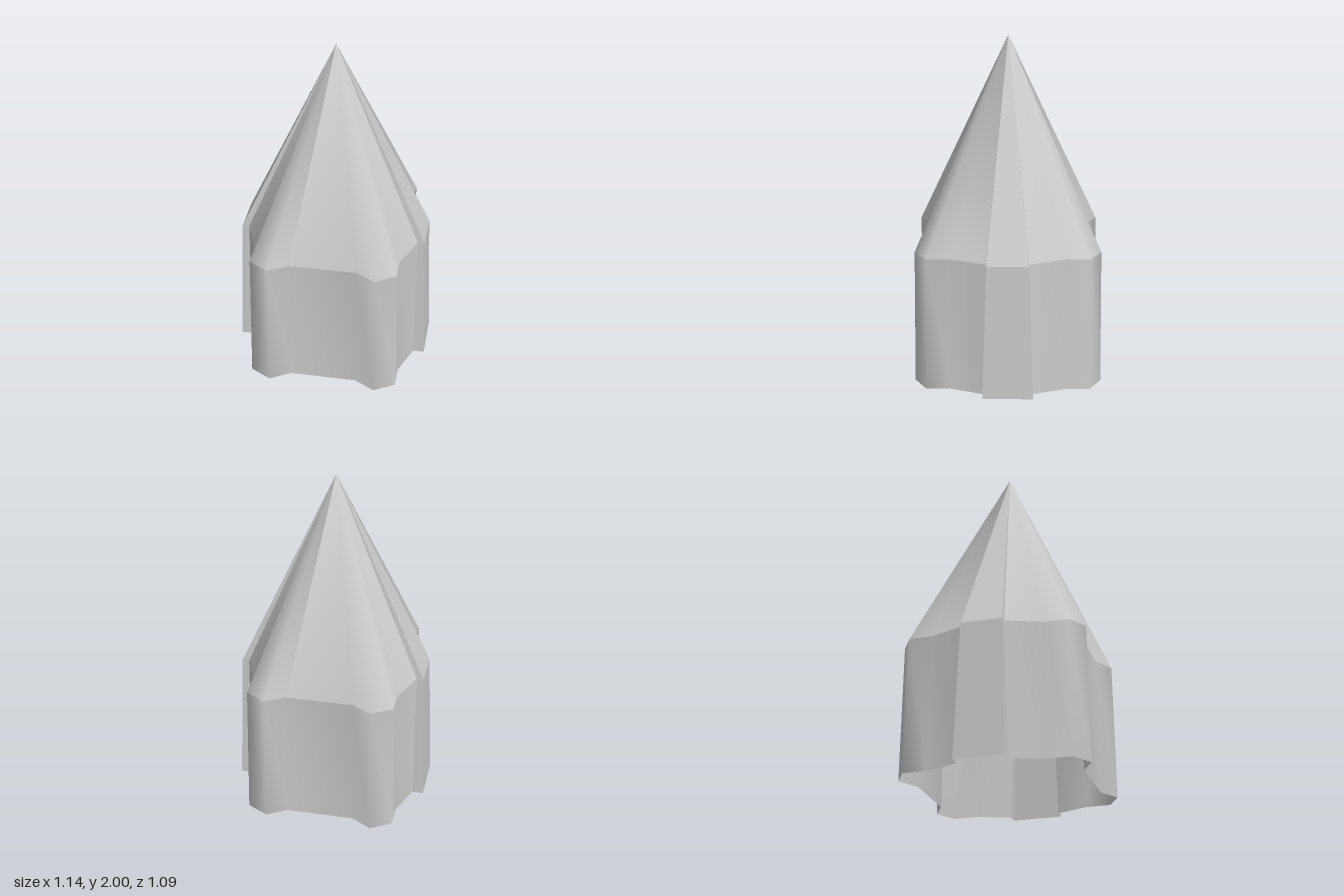
import * as THREE from 'three';

const APEX_Y = 2, EAVE_Y = 0.8;

// Fluted outline of half the body, from the +x fin round the front to the -x fin
const mirrorX = (half) => [...half, ...half.map(([x, z]) => [-x, z]).reverse()];
const bodyBase = mirrorX([[0.505, 0.145], [0.435, 0.335], [0.435, 0.475], [0.315, 0.545], [0.195, 0.475]]);
const bodyEave = mirrorX([[0.505, 0.12], [0.425, 0.33], [0.425, 0.465], [0.31, 0.535], [0.195, 0.47]]);

// Three-sided outline of a fin on +x
const finOutline = (x, z) => [[0.505, -z], [x, -z], [x, z], [0.505, z]];
const finBase = finOutline(0.57, 0.145);
const finEave = finOutline(0.545, 0.12);

function geometry(positions, index, flat) {
  let g = new THREE.BufferGeometry();
  g.setAttribute('position', new THREE.Float32BufferAttribute(positions, 3));
  g.setIndex(index);
  if (flat) g = g.toNonIndexed();
  g.computeVertexNormals();
  return g;
}

// Upright wall between two outlines
function wall(low, high, flat) {
  const n = low.length, index = [];
  const positions = [
    ...low.flatMap(([x, z]) => [x, 0, z]),
    ...high.flatMap(([x, z]) => [x, EAVE_Y, z]),
  ];
  for (let i = 0; i < n - 1; i++) index.push(i, n + i, n + i + 1, i, n + i + 1, i + 1);
  return geometry(positions, index, flat);
}

// Panels rising to the tip; the tip is doubled so shading breaks at one flute
function spire(outline, flat, split = outline.length) {
  const n = outline.length, index = [];
  const positions = [...outline.flatMap(([x, z]) => [x, EAVE_Y, z]), 0, APEX_Y, 0, 0, APEX_Y, 0];
  for (let i = 0; i < n - 1; i++) index.push(i, i < split ? n : n + 1, i + 1);
  return geometry(positions, index, flat);
}

export function createModel() {
  const grey = new THREE.MeshStandardMaterial({ color: 0xcccccc, side: THREE.DoubleSide });
  grey.name = 'light grey';
  const model = new THREE.Group();
  model.name = 'pointedShell';

  // Each half turn repeats a body half and a fin
  ['front', 'back'].forEach((side, k) => {
    const half = new THREE.Group();
    half.name = side + 'Half';
    half.rotation.y = k * Math.PI;
    const add = (name, geo) => {
      const mesh = new THREE.Mesh(geo, grey);
      mesh.name = name;
      half.add(mesh);
    };
    add('bodyWall', wall(bodyBase, bodyEave, false));
    add('bodySpire', spire(bodyEave, false, 5));
    add('finWall', wall(finBase, finEave, true));
    add('finSpire', spire(finEave, true));
    model.add(half);
  });
  return model;
}
